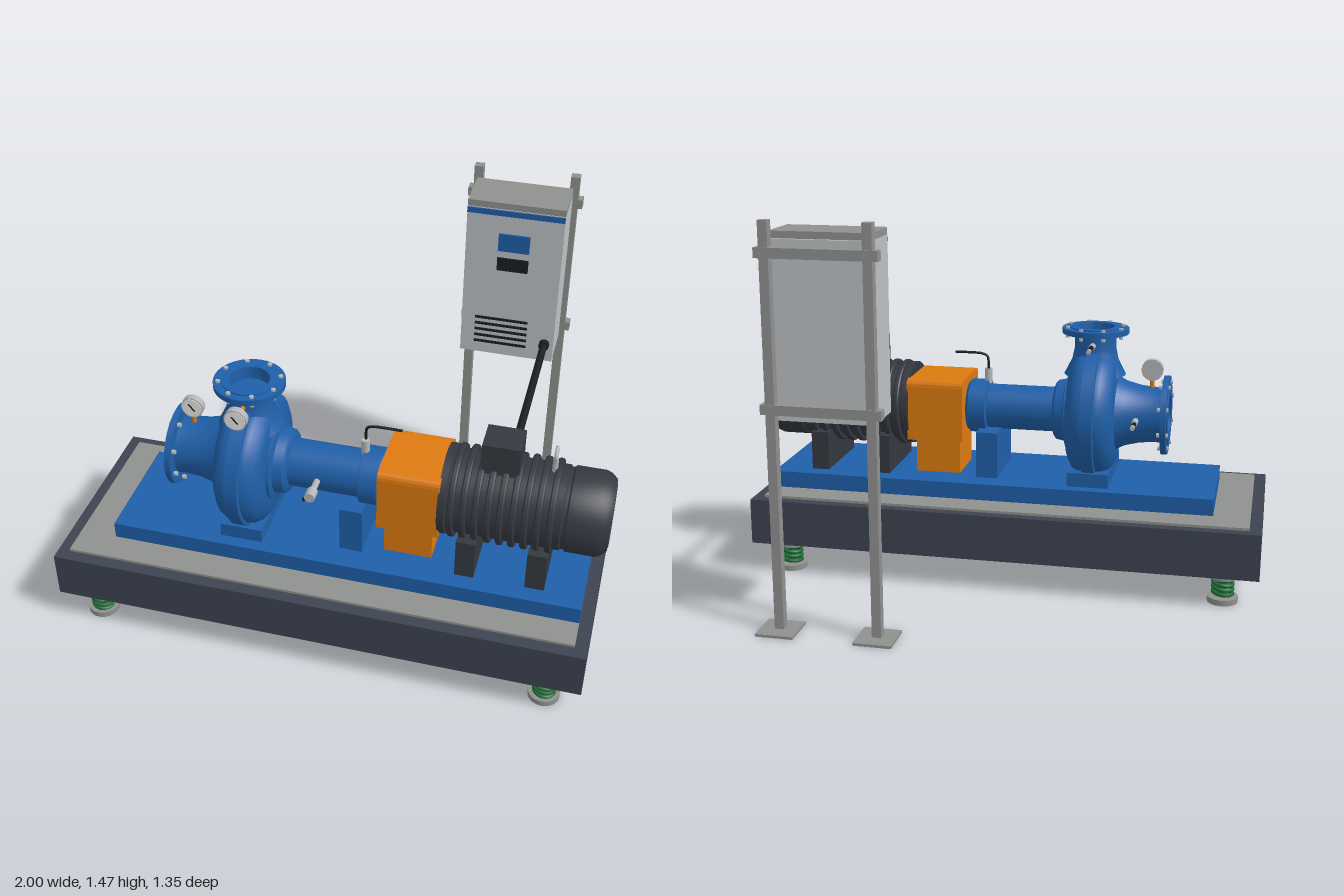
import * as THREE from 'three';
import { toCreasedNormals } from 'three/addons/utils/BufferGeometryUtils.js';

const mat = (name, color) => new THREE.MeshStandardMaterial({ name, color });
const AY = 0.635, AZ = 0.295; // shaft axis

export function createModel() {
  const blue = mat('pumpBlue', 0x1f5fa8), slate = mat('slate', 0x3d4350), charcoal = mat('charcoal', 0x343840);
  const orange = mat('safetyOrange', 0xdc7a10), pale = mat('cabinetGrey', 0xbcc1c4), grey = mat('galvanisedGrey', 0x8f918f);
  const green = mat('springGreen', 0x1c6b35), black = mat('black', 0x1b1c1e), white = mat('dialWhite', 0xe9e9e6);
  const steel = mat('steel', 0xb4b6b8);
  const root = new THREE.Group();
  root.name = 'pumpSet';

  const add = (name, geo, m, x = 0, y = 0, z = 0, parent = root) => {
    const mesh = new THREE.Mesh(geo, m);
    mesh.name = name;
    mesh.position.set(x, y, z);
    parent.add(mesh);
    return mesh;
  };
  // box given by its limits
  const box = (name, m, x0, x1, y0, y1, z0, z1) => add(name,
    new THREE.BoxGeometry(x1 - x0, y1 - y0, z1 - z0), m, (x0 + x1) / 2, (y0 + y1) / 2, (z0 + z1) / 2);
  // cylinder between two points
  const rod = (name, m, a, b, r, sides = 16) => {
    const p = new THREE.Vector3(...a), q = new THREE.Vector3(...b), d = q.clone().sub(p);
    const mesh = add(name, new THREE.CylinderGeometry(r, r, d.length(), sides), m);
    mesh.position.copy(p).add(q).multiplyScalar(0.5);
    mesh.quaternion.setFromUnitVectors(new THREE.Vector3(0, 1, 0), d.normalize());
    return mesh;
  };
  const lathe = (pts, seg = 48) => toCreasedNormals(
    new THREE.LatheGeometry(pts.map(p => new THREE.Vector2(...p)), seg), 0.5);
  // turned part along the shaft; points are [radius, x]
  const turned = (name, m, pts) => add(name, lathe(pts).rotateZ(-Math.PI / 2), m, 0, AY, AZ);

  // Inertia base, grout and baseplate
  box('inertiaBase', slate, -1, 0.985, 0.12, 0.30, -0.085, 0.675);
  box('grout', grey, -0.955, 0.94, 0.30, 0.31, -0.045, 0.63);
  box('baseplate', blue, -0.815, 0.94, 0.31, 0.375, 0.068, 0.52);

  // Spring mounts
  class Helix extends THREE.Curve {
    getPoint(t, v = new THREE.Vector3()) {
      const a = t * Math.PI * 8;
      return v.set(0.037 * Math.cos(a), 0.022 + 0.076 * t, 0.037 * Math.sin(a));
    }
  }
  const coil = new THREE.TubeGeometry(new Helix(), 80, 0.0075, 8);
  for (const x of [-0.865, 0.85]) for (const z of [0, 0.595]) {
    rod('springFoot', grey, [x, 0, z], [x, 0.022, z], 0.058, 28);
    rod('springCap', grey, [x, 0.098, z], [x, 0.12, z], 0.058, 28);
    add('spring', coil, green, x, 0, z);
    rod('springCore', green, [x, 0.02, z], [x, 0.1, z], 0.018);
  }

  // Pump casing with suction nozzle
  turned('casing', blue, [[0, -0.42], [0.16, -0.42], [0.2, -0.413], [0.232, -0.395], [0.248, -0.37], [0.25, -0.352],
    [0.264, -0.349], [0.264, -0.301], [0.25, -0.298], [0.248, -0.28], [0.232, -0.255], [0.2, -0.237], [0.16, -0.23], [0, -0.23]]);
  turned('suctionNozzle', blue, [[0, -0.56], [0.08, -0.56], [0.08, -0.622], [0.115, -0.622], [0.115, -0.618], [0.155, -0.618],
    [0.155, -0.596], [0.11, -0.596], [0.108, -0.57], [0.113, -0.51], [0.128, -0.45], [0.15, -0.41]]);
  // Discharge nozzle
  add('dischargeNozzle', lathe([[0.12, 0.79], [0.09, 0.85], [0.08, 0.9], [0.082, 0.953], [0.13, 0.953], [0.13, 0.974],
    [0.1, 0.974], [0.1, 0.979], [0.073, 0.979], [0.07, 0.93], [0, 0.93]]), blue, -0.325, 0, AZ);
  // Flange bolts
  for (let i = 0; i < 8; i++) {
    const a = (i + 0.5) * Math.PI / 4, c = Math.cos(a), s = Math.sin(a);
    const y = AY + 0.132 * c, z = AZ + 0.132 * s;
    rod('suctionBolt', steel, [-0.626, y, z], [-0.582, y, z], 0.009, 6);
    const bx = -0.325 + 0.112 * c, bz = AZ + 0.112 * s;
    rod('dischargeBolt', steel, [bx, 0.938, bz], [bx, 0.982, bz], 0.009, 6);
  }
  box('pumpFoot', blue, -0.405, -0.245, 0.375, 0.43, 0.115, 0.475);

  // Bearing bracket and its support
  turned('bearingBracket', blue, [[0.15, -0.235], [0.15, -0.222], [0.125, -0.215], [0.118, -0.18], [0.108, -0.172], [0.089, -0.168],
    [0.089, 0.095], [0.107, 0.1], [0.107, 0.168], [0.098, 0.178], [0, 0.178]]);
  box('bearingSupport', blue, 0.04, 0.125, 0.375, 0.56, 0.155, 0.43);
  rod('shaft', steel, [0.15, AY, AZ], [0.45, AY, AZ], 0.03);

  // Coupling guard: rounded section along the shaft
  const w = 0.1425, h0 = -0.12, h1 = 0.125, r = 0.03;
  const s = new THREE.Shape();
  s.moveTo(-w, h0).lineTo(w, h0).lineTo(w, h1 - r).quadraticCurveTo(w, h1, w - r, h1);
  s.lineTo(-w + r, h1).quadraticCurveTo(-w, h1, -w, h1 - r).lineTo(-w, h0);
  const guard = new THREE.ExtrudeGeometry(s, { depth: 0.225, bevelEnabled: false, curveSegments: 4 });
  add('couplingGuard', guard.rotateY(Math.PI / 2), orange, 0.18, AY, AZ);
  box('guardStand', orange, 0.2, 0.378, 0.375, 0.502, 0.195, 0.395);

  // Motor
  turned('motorBody', charcoal, [[0, 0.4], [0.165, 0.4], [0.165, 0.425], [0.153, 0.43], [0.153, 0.83],
    [0.147, 0.835], [0.147, 0.845], [0.154, 0.85], [0.154, 0.955], [0.146, 0.975], [0.128, 0.995], [0, 0.995]]);
  for (let i = 0; i < 9; i++) {
    const x = 0.446 + i * 0.0435;
    turned('coolingFin', charcoal, [[0.15, x - 0.012], [0.167, x - 0.011], [0.171, x - 0.006], [0.171, x + 0.006],
      [0.167, x + 0.011], [0.15, x + 0.012]]);
  }
  for (const radius of [0.112, 0.088, 0.065, 0.04])
    add('grilleRing', new THREE.TorusGeometry(radius, 0.003, 6, 40).rotateY(Math.PI / 2), slate, 0.995, AY, AZ);
  for (const x of [0.475, 0.73]) box('motorFoot', charcoal, x, x + 0.07, 0.375, 0.53, 0.133, 0.458);
  box('terminalBox', charcoal, 0.53, 0.665, 0.78, 0.9, 0.235, 0.358);
  rod('eyeStem', steel, [0.78, 0.79, AZ], [0.78, 0.845, AZ], 0.01);
  add('liftingEye', new THREE.TorusGeometry(0.023, 0.006, 10, 28).rotateY(Math.PI / 2), steel, 0.78, 0.866, AZ);
  rod('powerCable', black, [0.634, 0.853, 0.24], [0.634, 0.853, -0.39], 0.014);
  for (const z of [0.225, -0.378]) rod('cableGland', black, [0.634, 0.853, z - 0.012], [0.634, 0.853, z + 0.012], 0.02, 12);

  // Pressure gauges facing the front
  const gauge = (x, y, z) => {
    rod('gaugeCase', steel, [x, y, z - 0.014], [x, y, z + 0.013], 0.042, 32);
    rod('gaugeDial', white, [x, y, z + 0.013], [x, y, z + 0.0155], 0.037, 32);
    const needle = add('gaugeNeedle', new THREE.BoxGeometry(0.005, 0.036, 0.002), black, x, y + 0.003, z + 0.017);
    needle.rotation.z = 0.7;
  };
  gauge(-0.55, 0.815, AZ);
  rod('gaugeStem', orange, [-0.55, 0.735, AZ], [-0.55, 0.775, AZ], 0.009, 10);
  gauge(-0.325, 0.912, 0.449);
  rod('gaugeStem', orange, [-0.325, 0.907, 0.37], [-0.325, 0.907, 0.437], 0.009, 10);

  // Sensors and drain valve
  const sensor = (x, y, z0, z1, z2) => {
    rod('sensorBody', steel, [x, y, z0], [x, y, z1], 0.012, 12);
    rod('sensorCap', black, [x, y, z1], [x, y, z2], 0.009, 12);
    rod('sensorTip', steel, [x, y, z2], [x, y, z2 - 0.02], 0.009, 12);
  };
  sensor(-0.325, 0.915, 0.225, 0.175, 0.118);
  sensor(-0.5, AY, 0.195, 0.13, 0.088);
  rod('valveStem', steel, [-0.055, AY, 0.37], [-0.055, AY, 0.46], 0.012, 12);
  rod('valveBody', steel, [-0.055, AY, 0.44], [-0.055, AY, 0.482], 0.02, 12);
  rod('valveLever', black, [-0.08, 0.618, 0.475], [-0.045, 0.642, 0.475], 0.007, 8);

  // Bearing sensor and its lead
  rod('bearingSensor', steel, [0.103, 0.73, AZ], [0.103, 0.79, AZ], 0.015, 16);
  const lead = new THREE.CatmullRomCurve3([[0.103, 0.785], [0.103, 0.82], [0.108, 0.841], [0.13, 0.85], [0.17, 0.852], [0.237, 0.852]]
    .map(([x, y]) => new THREE.Vector3(x, y, 0.29)));
  add('sensorLead', new THREE.TubeGeometry(lead, 30, 0.005, 8), black);

  // Control cabinet
  box('cabinet', pale, 0.307, 0.668, 0.775, 1.405, -0.583, -0.388);
  box('cabinetRoof', grey, 0.307, 0.668, 1.405, 1.43, -0.57, -0.39);
  box('cabinetStripe', blue, 0.307, 0.668, 1.38, 1.402, -0.389, -0.384);
  box('display', blue, 0.43, 0.547, 1.235, 1.307, -0.389, -0.382);
  box('keypad', black, 0.43, 0.547, 1.153, 1.206, -0.389, -0.382);
  for (let i = 0; i < 5; i++) {
    const y = 0.935 - i * 0.027;
    box('ventSlot', black, 0.36, 0.563, y - 0.005, y + 0.005, -0.389, -0.384);
  }

  // Cabinet stand
  for (const x of [0.309, 0.671]) {
    box('standPost', grey, x - 0.017, x + 0.017, 0.005, 1.47, -0.616, -0.582);
    box('postFoot', grey, x - 0.07, x + 0.07, 0, 0.01, -0.675, -0.535);
  }
  for (const y of [0.82, 1.361]) box('standRail', grey, 0.272, 0.706, y - 0.018, y + 0.018, -0.62, -0.583);
  return root;
}
